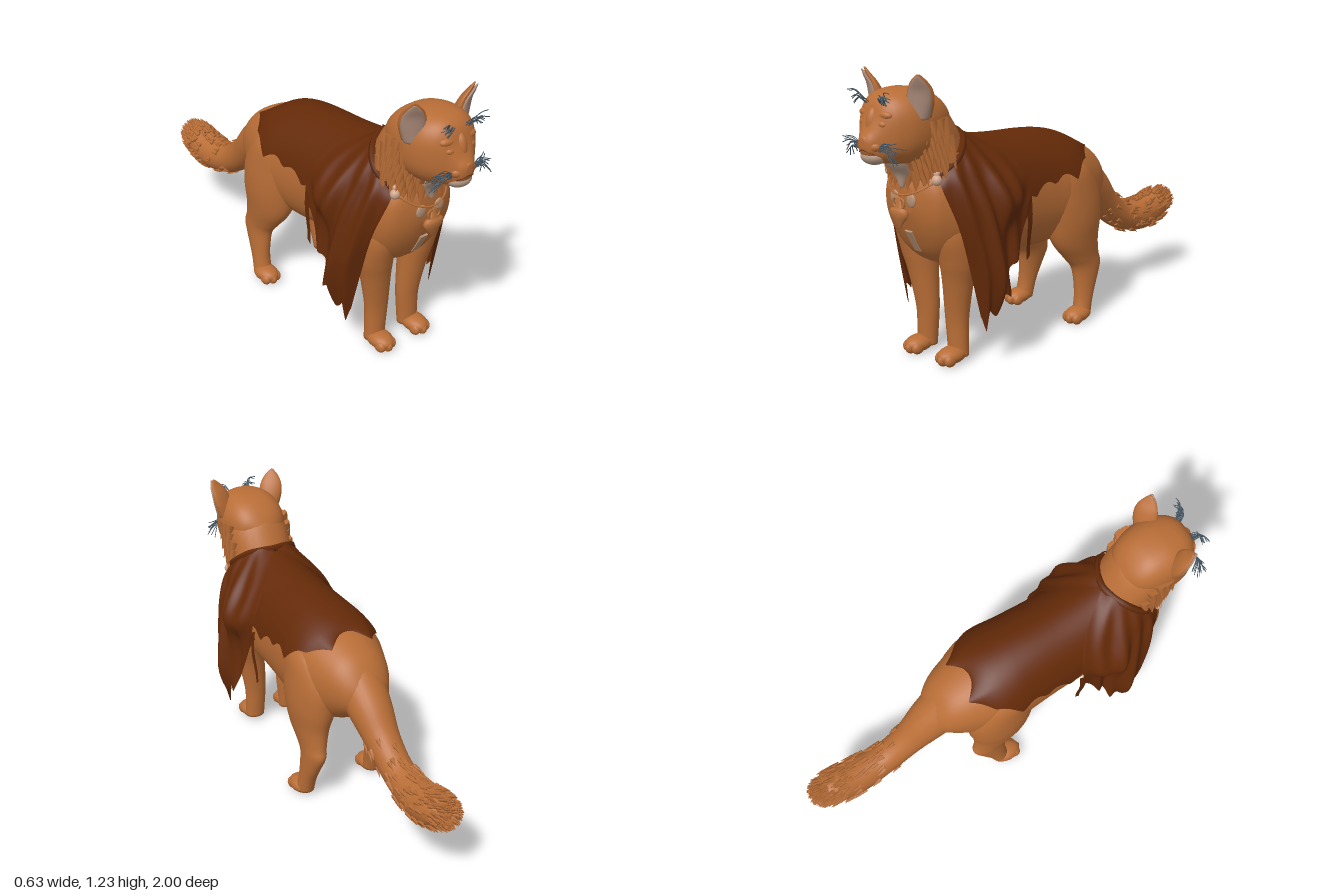
import * as THREE from 'three';
import { mergeGeometries } from 'three/addons/utils/BufferGeometryUtils.js';

const mat = (name, color, side = THREE.FrontSide) =>
  Object.assign(new THREE.MeshStandardMaterial({ color, side }), { name });
const V = (x, y, z) => new THREE.Vector3(x, y, z);

// Catmull-Rom interpolation of number rows, u in 0..1
function cat(rows, u) {
  const n = rows.length - 1, f = Math.min(Math.max(u, 0), 1) * n;
  const i = Math.min(Math.floor(f), n - 1), t = f - i;
  const p = (k) => rows[Math.min(Math.max(k, 0), n)];
  return rows[i].map((b, k) => {
    const a = p(i - 1)[k], c = p(i + 1)[k], d = p(i + 2)[k];
    return b + 0.5 * t * (c - a + t * (2 * a - 5 * b + 4 * c - d + t * (3 * (b - c) + d - a)));
  });
}

// Closed skin over smoothed cross-sections; ring(row, cos, sin) gives a point
function loft(rows, ring, n = 28, steps = 5) {
  const m = (rows.length - 1) * steps, pos = [], idx = [];
  for (let i = 0; i <= m; i++) {
    const r = cat(rows, i / m);
    for (let j = 0; j < n; j++) {
      const a = (j / n) * Math.PI * 2;
      pos.push(...ring(r, Math.cos(a), Math.sin(a)).toArray());
    }
  }
  for (let i = 0; i < m; i++) for (let j = 0; j < n; j++) {
    const a = i * n + j, b = i * n + (j + 1) % n;
    idx.push(a, b, a + n, b, b + n, a + n);
  }
  for (const e of [0, m]) {
    const c = V(0, 0, 0), k = pos.length / 3;
    for (let j = 0; j < n; j++) c.add(V(0, 0, 0).fromArray(pos, (e * n + j) * 3));
    pos.push(...c.divideScalar(n).toArray());
    for (let j = 0; j < n; j++) {
      const a = e * n + j, b = e * n + (j + 1) % n;
      e ? idx.push(a, b, k) : idx.push(b, a, k);
    }
  }
  // turn the skin outward
  let vol = 0;
  const P = (i) => V(0, 0, 0).fromArray(pos, idx[i] * 3);
  for (let i = 0; i < idx.length; i += 3) vol += P(i).dot(P(i + 1).cross(P(i + 2)));
  if (vol < 0) idx.reverse();
  const g = new THREE.BufferGeometry();
  g.setAttribute('position', new THREE.Float32BufferAttribute(pos, 3));
  g.setIndex(idx);
  g.computeVertexNormals();
  return g;
}

// Sheet whose points come from fn(u, v), both 0..1
function sheet(nu, nv, fn) {
  const g = new THREE.PlaneGeometry(1, 1, nu, nv), p = g.attributes.position;
  for (let i = 0; i < p.count; i++) p.setXYZ(i, ...fn(p.getX(i) + 0.5, 0.5 - p.getY(i)).toArray());
  g.computeVertexNormals();
  return g;
}

const ball = (x, y, z, rx, ry, rz) => new THREE.SphereGeometry(1, 20, 14).scale(rx, ry, rz).translate(x, y, z);
const strand = (pts, r, n = 8) => new THREE.TubeGeometry(new THREE.CatmullRomCurve3(pts), n, r, 5);
function tuft(at, dir, len, r) {
  const g = new THREE.ConeGeometry(r, len, 6).translate(0, len * 0.35, 0);
  g.applyQuaternion(new THREE.Quaternion().setFromUnitVectors(V(0, 1, 0), dir.clone().normalize()));
  return g.translate(at.x, at.y, at.z);
}

export function createModel() {
  const fur = mat('fur', 0xb86d36), cloth = mat('cape cloth', 0x642a08, THREE.DoubleSide);
  const cream = mat('cream fur', 0xbb9d88), pink = mat('inner ear', 0xab8b7a);
  const slate = mat('whisker', 0x465764), copper = mat('pendant copper', 0xb8703a);
  const pearl = mat('clasp pearl', 0xd0a68c), tan = mat('chest patch tan', 0xb48f72);
  const root = new THREE.Group();
  let seed = 7;
  const rnd = () => (seed = (seed * 16807) % 2147483647) / 2147483647;
  const add = (name, geo, m) => {
    const mesh = new THREE.Mesh(Array.isArray(geo) ? mergeGeometries(geo) : geo, m);
    mesh.name = name;
    root.add(mesh);
  };
  // rings standing across z: [z, bottom, top, half width]
  const across = (q) => ([z, b, t, w], c, s) => V(w * Math.sign(c) * Math.abs(c) ** q,
    (b + t) / 2 + (t - b) / 2 * Math.sign(s) * Math.abs(s) ** q, z);
  // level rings, turned outward by an angle: [y, x, z, rx, rz]
  const level = (k, turn = 0) => ([y, x, z, rx, rz], c, s) =>
    V(k * (x + rx * c * Math.cos(turn) + rz * s * Math.sin(turn)), y, z + rz * s * Math.cos(turn) - rx * c * Math.sin(turn));

  // Trunk, neck and head
  add('body', loft([[-0.37, 0.55, 0.64, 0.04], [-0.34, 0.52, 0.69, 0.095], [-0.28, 0.48, 0.758, 0.14],
    [-0.2, 0.43, 0.803, 0.175], [-0.1, 0.4, 0.84, 0.205], [0, 0.38, 0.865, 0.215], [0.1, 0.37, 0.88, 0.205],
    [0.25, 0.38, 0.89, 0.195], [0.4, 0.4, 0.905, 0.198], [0.55, 0.405, 0.92, 0.207], [0.65, 0.42, 0.9, 0.203],
    [0.72, 0.47, 0.88, 0.182], [0.77, 0.56, 0.84, 0.145], [0.805, 0.66, 0.78, 0.055]], across(0.92), 40), fur);
  add('neck', loft([[0.7, 0, 0.62, 0.16, 0.16], [0.82, 0, 0.655, 0.15, 0.145], [0.92, 0, 0.69, 0.148, 0.165],
    [1.02, 0, 0.735, 0.143, 0.155], [1.08, 0, 0.765, 0.115, 0.138], [1.12, 0, 0.78, 0.08, 0.1]], level(1)), fur);
  add('head', loft([[0.6, 0.96, 1.045, 0.045], [0.64, 0.93, 1.1, 0.105], [0.7, 0.89, 1.145, 0.138],
    [0.78, 0.87, 1.165, 0.153], [0.85, 0.87, 1.163, 0.145], [0.9, 0.88, 1.15, 0.12], [0.932, 0.885, 1.12, 0.092],
    [0.952, 0.89, 1.07, 0.07], [0.972, 0.905, 1.025, 0.05], [0.988, 0.925, 1, 0.034],
    [0.997, 0.95, 0.987, 0.014]], across(0.82), 36), fur);

  // Tail: rings square to a curved path, [z, y, radius]
  const tail = [[-0.23, 0.645, 0.115], [-0.36, 0.545, 0.096], [-0.47, 0.443, 0.076], [-0.6, 0.358, 0.072],
    [-0.75, 0.335, 0.084], [-0.86, 0.355, 0.08], [-0.93, 0.375, 0.052], [-0.96, 0.385, 0.008]];
  tail.forEach((r, i) => {
    const a = tail[Math.max(i - 1, 0)], b = tail[Math.min(i + 1, 7)];
    r.push(Math.atan2(b[1] - a[1], a[0] - b[0]));
  });
  const tailRing = ([z, y, r, e], c, s) => V(r * c, y + r * s * Math.cos(e), z + r * s * Math.sin(e));
  add('tail', loft(tail, tailRing), fur);
  const tailTufts = [];
  for (let i = 0; i < 320; i++) {
    const r = cat(tail, 0.26 + 0.7 * Math.sqrt(rnd())), a = rnd() * 6.283;
    const p = tailRing(r, Math.cos(a), Math.sin(a)), out = p.clone().sub(V(0, r[1], r[0])).normalize();
    tailTufts.push(tuft(p, out.multiplyScalar(0.25).add(V(0, Math.sin(r[3]), -Math.cos(r[3]))), 0.05, 0.011));
  }
  add('tailFur', tailTufts, fur);

  // Ruff of fur round the throat and cheeks
  const ruff = [];
  for (let row = 0; row < 6; row++) for (let i = 0; i < 15; i++) {
    const a = -1.75 + 3.5 * (i + (row % 2) / 2) / 14.5, h = row / 5;
    const p = V(Math.sin(a) * (0.142 + 0.006 * h), 0.82 + 0.19 * h + 0.02 * (1 - Math.cos(a)),
      0.655 + 0.075 * h + Math.cos(a) * (0.142 - 0.01 * h));
    if (Math.abs(a) < 0.45 && h > 0.1) continue;
    ruff.push(tuft(p, V(Math.sin(a) * 0.38, -1, Math.cos(a) * 0.15), 0.085 + 0.02 * rnd(), 0.028));
  }
  add('ruff', ruff, fur);
  add('chin', ball(0, 0.916, 0.94, 0.057, 0.036, 0.05), cream);
  add('throatBib', loft([[0.92, 0, 0.86, 0.068, 0.03], [0.87, 0, 0.84, 0.062, 0.03], [0.82, 0, 0.808, 0.042, 0.024],
    [0.765, 0, 0.799, 0.01, 0.016]], level(1)), cream);
  add('noseBridge', ball(0, 1.03, 0.93, 0.03, 0.075, 0.04), fur);
  add('nose', ball(0, 0.987, 0.984, 0.02, 0.012, 0.013), copper);
  add('mouth', strand([V(-0.045, 0.93, 0.975), V(-0.02, 0.94, 0.991), V(0, 0.946, 0.996),
    V(0.02, 0.94, 0.991), V(0.045, 0.93, 0.975)], 0.002), cloth);

  for (const k of [1, -1]) {
    const side = k > 0 ? 'left' : 'right';
    // Face
    add(side + 'Cheek', ball(k * 0.028, 0.957, 0.957, 0.034, 0.025, 0.03), fur);
    add(side + 'Eye', ball(k * 0.049, 1.042, 0.938, 0.027, 0.016, 0.018), fur);
    add(side + 'Brow', ball(k * 0.05, 1.076, 0.922, 0.042, 0.02, 0.024), fur);
    const ear = [[1.06, 0.114, 0.805, 0.046, 0.034], [1.12, 0.126, 0.81, 0.055, 0.028],
      [1.17, 0.137, 0.82, 0.05, 0.018], [1.205, 0.148, 0.835, 0.032, 0.01], [1.23, 0.156, 0.845, 0.007, 0.004]];
    add(side + 'Ear', loft(ear, level(k, 0.55), 20), fur);
    add(side + 'InnerEar', loft(ear.map(([y, x, z, rx, rz]) =>
      [y - 0.006, x + 0.006, z + 0.01, rx * 0.88, rz * 0.82]), level(k, 0.55), 20), pink);
    const hairs = [];
    for (let i = 0; i < 15; i++) {
      const f = i / 14, x = 0.045 + 0.012 * rnd(), y = 0.935 + 0.025 * rnd(), end = 0.115 + 0.05 * rnd();
      hairs.push(strand([V(k * x, y, 0.962), V(k * (x + end) / 2, y + 0.022 * f, 0.968 - 0.01 * f),
        V(k * end, 0.895 + 0.085 * f, 0.92 + 0.06 * rnd())], 0.0018));
    }
    for (let i = 0; i < 10; i++) {
      const f = i / 9, x = 0.03 + 0.035 * f, y = 1.105 + 0.025 * rnd();
      hairs.push(strand([V(k * x, y, 0.925), V(k * (x + 0.022), y + 0.028 + 0.012 * f, 0.955),
        V(k * (x + 0.055), y + 0.04 * f, 0.94 + 0.03 * rnd())], 0.0018));
    }
    add(side + 'Whiskers', hairs, slate);

    // Legs and paws
    add(side + 'FrontLeg', loft([[0.7, 0.12, 0.6, 0.05, 0.07], [0.58, 0.126, 0.625, 0.076, 0.1],
      [0.45, 0.118, 0.617, 0.08, 0.085], [0.35, 0.105, 0.615, 0.069, 0.063], [0.2, 0.09, 0.61, 0.056, 0.046],
      [0.1, 0.092, 0.61, 0.05, 0.042], [0.025, 0.096, 0.612, 0.048, 0.04]], level(k)), fur);
    add(side + 'HindLeg', loft([[0.79, 0.11, -0.02, 0.02, 0.04], [0.72, 0.122, -0.03, 0.085, 0.12],
      [0.6, 0.127, -0.055, 0.103, 0.168], [0.48, 0.138, -0.067, 0.098, 0.16], [0.38, 0.15, -0.075, 0.075, 0.135],
      [0.3, 0.158, -0.11, 0.055, 0.105], [0.25, 0.163, -0.135, 0.047, 0.09], [0.18, 0.17, -0.125, 0.042, 0.068],
      [0.1, 0.176, -0.105, 0.04, 0.048], [0.025, 0.18, -0.085, 0.042, 0.045]], level(k)), fur);
    for (const [name, x, z] of [['Front', 0.1, 0.655], ['Hind', 0.184, -0.055]]) {
      const paw = [ball(k * x, 0.036, z, 0.051, 0.036, 0.07)];
      for (let t = -1; t <= 1; t++) paw.push(ball(k * x + t * 0.028, 0.027, z + 0.045 - 0.012 * t * t, 0.021, 0.027, 0.03));
      add(side + name + 'Paw', paw, fur);
    }

    // Shoulder drape: columns from the front edge to the spine, collar to hem
    const folds = [
      [0.13, 0.81, 0.735, 0.165, 0.76, 0.74, 0.2, 0.6, 0.69, 0.21, 0.4, 0.64, 0.232, 0.14, 0.59],
      [0.16, 0.85, 0.69, 0.195, 0.78, 0.69, 0.245, 0.62, 0.66, 0.275, 0.42, 0.61, 0.245, 0.17, 0.58],
      [0.155, 0.9, 0.63, 0.205, 0.81, 0.62, 0.258, 0.66, 0.58, 0.3, 0.39, 0.54, 0.265, 0.24, 0.53],
      [0.115, 0.945, 0.58, 0.2, 0.83, 0.54, 0.285, 0.67, 0.5, 0.245, 0.52, 0.48, 0.258, 0.29, 0.46],
      [0.065, 0.967, 0.542, 0.185, 0.835, 0.44, 0.262, 0.7, 0.4, 0.235, 0.58, 0.4, 0.245, 0.43, 0.4],
      [0, 0.965, 0.53, 0.12, 0.885, 0.38, 0.2, 0.785, 0.32, 0.235, 0.68, 0.31, 0.225, 0.64, 0.3]];
    add(side + 'CapeDrape', sheet(64, 28, (s, t) => {
      const c = cat(folds, s), hem = 1 - 0.1 * Math.abs(Math.sin(s * 14 + 1.57));
      const [x, y, z] = cat([0, 3, 6, 9, 12].map((i) => c.slice(i, i + 3)), t * (0.1 + hem) / 1.1);
      const w = (0.009 * Math.sin(s * 31 + t * 3) + 0.006 * Math.sin(s * 17 - t * 7)) *
        Math.min(1, t * 3) * Math.sin(s * Math.PI);
      return V(k * (x + w), y + w * 0.5, z);
    }), cloth);
    add(side + 'CapeRag', sheet(3, 6, (u, v) => V(k * (0.225 + 0.008 * Math.sin(v * 5)),
      0.68 - 0.27 * v - 0.02 * u, 0.3 + 0.035 * u * (1 - 0.4 * v))), cloth);

    // Clasp and chest patches
    add(side + 'Clasp', [ball(k * 0.14, 0.805, 0.75, 0.022, 0.022, 0.02),
      ball(k * 0.135, 0.83, 0.745, 0.013, 0.013, 0.013)], pearl);
    add(side + 'ChestPatch', ball(k * 0.048, 0.718, 0.805, 0.026, 0.029, 0.009), tan);
    add(side + 'PendantRing', new THREE.TorusGeometry(0.014, 0.004, 8, 18).scale(1, 1.3, 1)
      .translate(k * 0.018, 0.705, 0.828), copper);
  }

  // Cape over the back: [z, spine height, half width, centre height, hem height]
  const back = [[0.57, 0.955, 0.2, 0.68, 0.8], [0.45, 0.93, 0.21, 0.66, 0.7], [0.3, 0.913, 0.216, 0.64, 0.66],
    [0.12, 0.902, 0.225, 0.63, 0.7], [0, 0.887, 0.238, 0.62, 0.7], [-0.1, 0.862, 0.228, 0.62, 0.75],
    [-0.2, 0.82, 0.194, 0.61, 0.785]];
  add('capeBack', sheet(40, 48, (u, v) => {
    const [z, top, w, cy, hem] = cat(back, v);
    const reach = Math.acos((hem - cy) / (top - cy)) * (1.04 - 0.1 * Math.abs(Math.sin(z * 24)));
    const a = (u * 2 - 1) * reach;
    return V(w * Math.sin(a), cy + (top - cy) * Math.cos(a), z + 0.06 * v ** 8 * Math.abs(Math.cos(a * 2.9)));
  }), cloth);
  // Rolled collar round the nape
  add('capeCollar', strand([V(-0.13, 0.815, 0.735), V(-0.158, 0.88, 0.655), V(-0.11, 0.942, 0.58), V(0, 0.962, 0.535),
    V(0.11, 0.942, 0.58), V(0.158, 0.88, 0.655), V(0.13, 0.815, 0.735)], 0.016, 40), cloth);

  // Chain, pendant and chest strip
  add('chain', strand([V(-0.14, 0.8, 0.75), V(-0.075, 0.755, 0.808), V(0, 0.738, 0.826),
    V(0.075, 0.755, 0.808), V(0.14, 0.8, 0.75)], 0.004, 24), copper);
  add('pendant', new THREE.LatheGeometry([[0, -0.055], [0.01, -0.05], [0.018, -0.036], [0.042, -0.012], [0.054, 0.012],
    [0.042, 0.026], [0.018, 0.032], [0.012, 0.07], [0, 0.078]].map(([x, y]) => new THREE.Vector2(x, y)), 28)
    .scale(1, 1, 0.4).translate(0, 0.655, 0.828), copper);
  add('chestStrip', new THREE.BoxGeometry(0.038, 0.105, 0.009).rotateX(0.5).translate(0, 0.533, 0.757), tan);
  return root;
}
